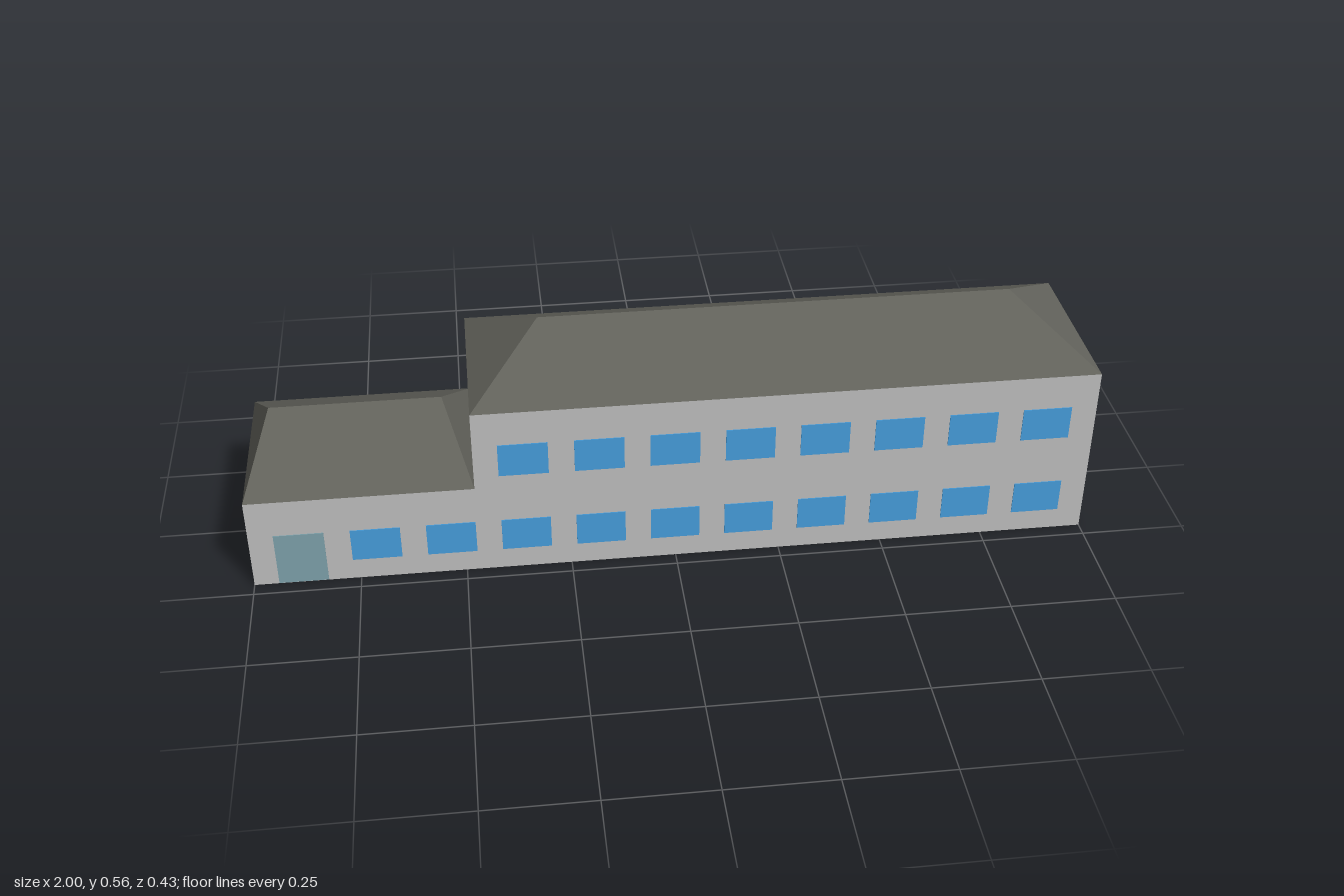
import * as THREE from 'three';

const mat = (name, color) => {
  const m = new THREE.MeshStandardMaterial({ color });
  m.name = name;
  return m;
};

const DEPTH = 0.43, HALF = DEPTH / 2;

export function createModel() {
  const wall = mat('wallGrey', 0xc0c0c0);
  const roofing = mat('roofDark', 0x62625b);
  const glass = mat('windowBlue', 0x479fde);
  const teal = mat('doorTeal', 0x7fa3ad);
  const brown = mat('doorBrown', 0xa0782a);

  const model = new THREE.Group();
  model.name = 'longBuilding';

  const add = (name, geometry, material) => {
    const mesh = new THREE.Mesh(geometry, material);
    mesh.name = name;
    model.add(mesh);
    return mesh;
  };

  // Hipped roof between x0 and x1, ridge from r0 to r1
  const hipRoof = (x0, x1, r0, r1, eave, ridge) => {
    const a = [x0, eave, HALF], b = [x1, eave, HALF], c = [x1, eave, -HALF], d = [x0, eave, -HALF];
    const p = [r0, ridge, 0], q = [r1, ridge, 0];
    const faces = [a, b, q, a, q, p, b, c, q, c, d, p, c, p, q, d, a, p];
    const g = new THREE.BufferGeometry();
    g.setAttribute('position', new THREE.Float32BufferAttribute(faces.flat(), 3));
    g.computeVertexNormals();
    return g;
  };

  // Wings: walls and roof
  const wing = (name, x0, x1, r0, r1, eave, ridge) => {
    add(name + 'Walls', new THREE.BoxGeometry(x1 - x0, eave, DEPTH), wall)
      .position.set((x0 + x1) / 2, eave / 2, 0);
    add(name + 'Roof', hipRoof(x0, x1, r0, r1, eave, ridge), roofing);
  };
  wing('lowWing', -1, -0.47, -0.94, -0.535, 0.235, 0.355);
  wing('tallWing', -0.47, 1, -0.3, 0.825, 0.44, 0.558);

  // Thin plate on the front (side 1) or back (side -1) wall
  const plate = (name, material, side, x0, x1, y0, y1) =>
    add(name, new THREE.BoxGeometry(x1 - x0, y1 - y0, 0.004), material)
      .position.set((x0 + x1) / 2, (y0 + y1) / 2, side * HALF);

  // Window rows: eleven bays below, eight above on the tall wing
  for (const side of [1, -1]) {
    for (let i = 0; i < 11; i++) {
      const x = -0.884 + i * 0.1765;
      const left = x - 0.058, right = x + 0.058;
      if (i >= 3) plate('upperWindow', glass, side, left, right, 0.268, 0.353);
      if (side === 1 && i === 0) {
        plate('frontDoor', teal, side, left, right, 0.002, 0.14);
      } else if (side === -1 && i === 7) {
        // Narrow window beside the back door
        plate('narrowWindow', glass, side, left, left + 0.057, 0.055, 0.14);
        plate('backDoor', brown, side, 0.39, 0.434, 0.002, 0.14);
      } else {
        plate('lowerWindow', glass, side, left, right, 0.055, 0.14);
      }
    }
  }

  // Doors in the end walls
  const endDoor = (name, x, z0, z1) =>
    add(name, new THREE.BoxGeometry(0.004, 0.168, z1 - z0), teal)
      .position.set(x, 0.094, (z0 + z1) / 2);
  endDoor('leftEndDoor', 1, -0.063, 0.063);
  endDoor('rightEndDoor', -1, -0.064, -0.011);

  return model;
}
